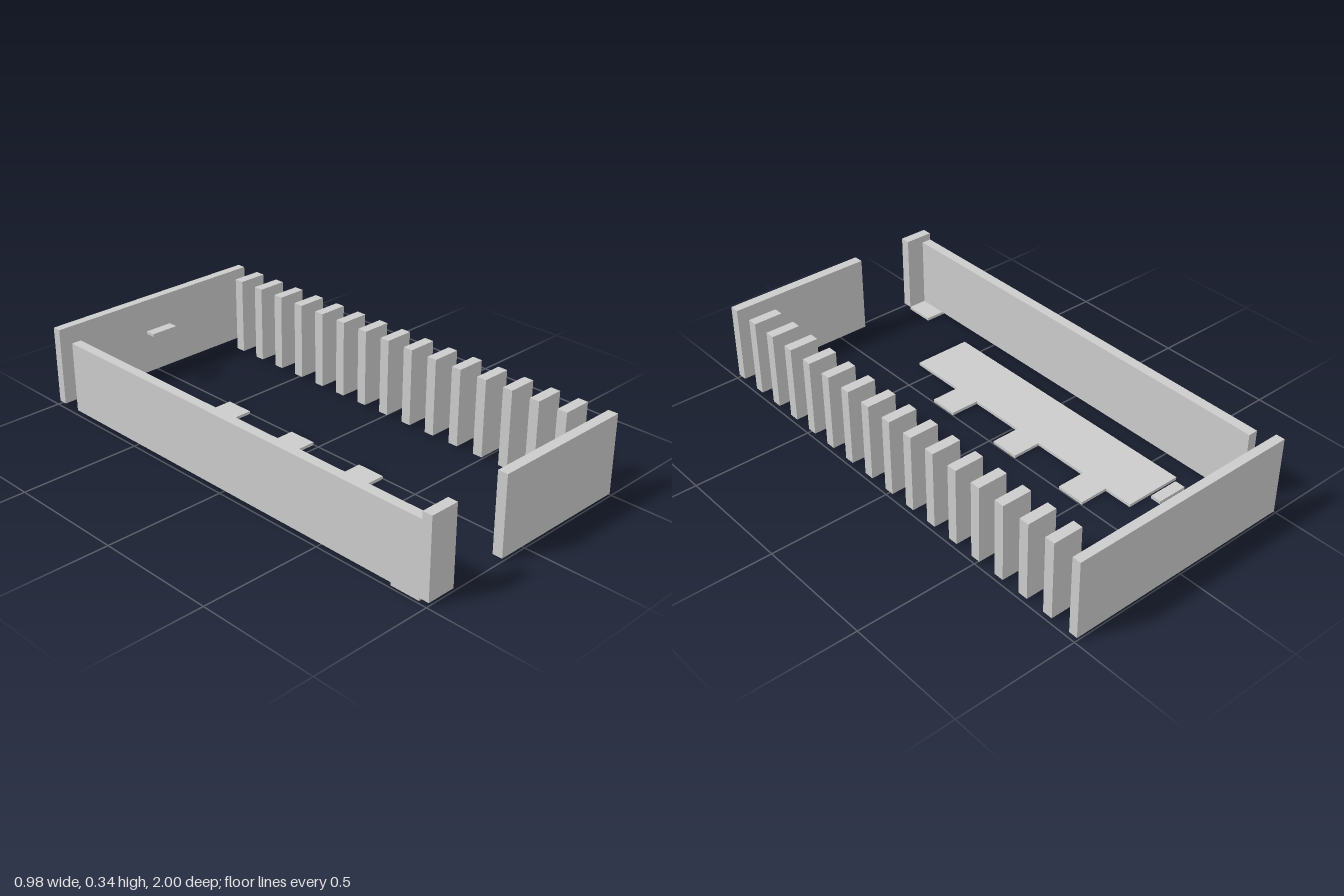
import * as THREE from 'three';

export function createModel() {
  const group = new THREE.Group();
  const material = new THREE.MeshStandardMaterial({ color: 0xcccccc, flatShading: true });

  // Box given by its extents on each axis
  function block(name, [x0, x1], [y0, y1], [z0, z1]) {
    const mesh = new THREE.Mesh(new THREE.BoxGeometry(x1 - x0, y1 - y0, z1 - z0), material);
    mesh.position.set((x0 + x1) / 2, (y0 + y1) / 2, (z0 + z1) / 2);
    mesh.name = name;
    group.add(mesh);
  }

  const floor = 0.0122, edge = 0.489;
  const tall = [floor, 0.336], thin = [0, floor];

  // Perimeter walls
  block('backWall', [-edge, edge], tall, [-1, -0.963]);
  block('frontWall', [-0.122, edge], tall, [0.959, 1]);
  block('frontCornerWall', [-edge, -0.369], tall, [0.959, 1]);
  block('sideWall', [-edge, -0.448], [floor, 0.306], [-0.88, 0.959]);

  // Row of fins along the open side
  for (let i = 0; i < 15; i++) {
    const z = -0.859 + i * 0.1221;
    block('fin' + (i + 1), [0.366, edge], tall, [z - 0.021, z + 0.021]);
  }

  // Floor plate with three tabs, in one outline (shape y becomes -z)
  const outline = [[-0.369, 0.587], [-0.124, 0.587]];
  for (const z of [0.22, -0.146, -0.512]) {
    outline.push([-0.124, z + 0.122], [-0.002, z + 0.122], [-0.002, z], [-0.124, z]);
  }
  outline.push([-0.124, -0.635], [-0.369, -0.635]);
  const shape = new THREE.Shape(outline.map(([x, z]) => new THREE.Vector2(x, -z)));
  const plate = new THREE.ExtrudeGeometry(shape, { depth: floor, bevelEnabled: false });
  plate.rotateX(-Math.PI / 2);
  const floorPlate = new THREE.Mesh(plate, material);
  floorPlate.name = 'floorPlate';
  group.add(floorPlate);

  // Small separate slabs
  block('cornerFoot', [-edge, -0.369], thin, [0.834, 0.959]);
  block('raisedTab', [-0.122, -0.002], [0.232, 0.244], [-0.88, -0.838]);

  return group;
}
